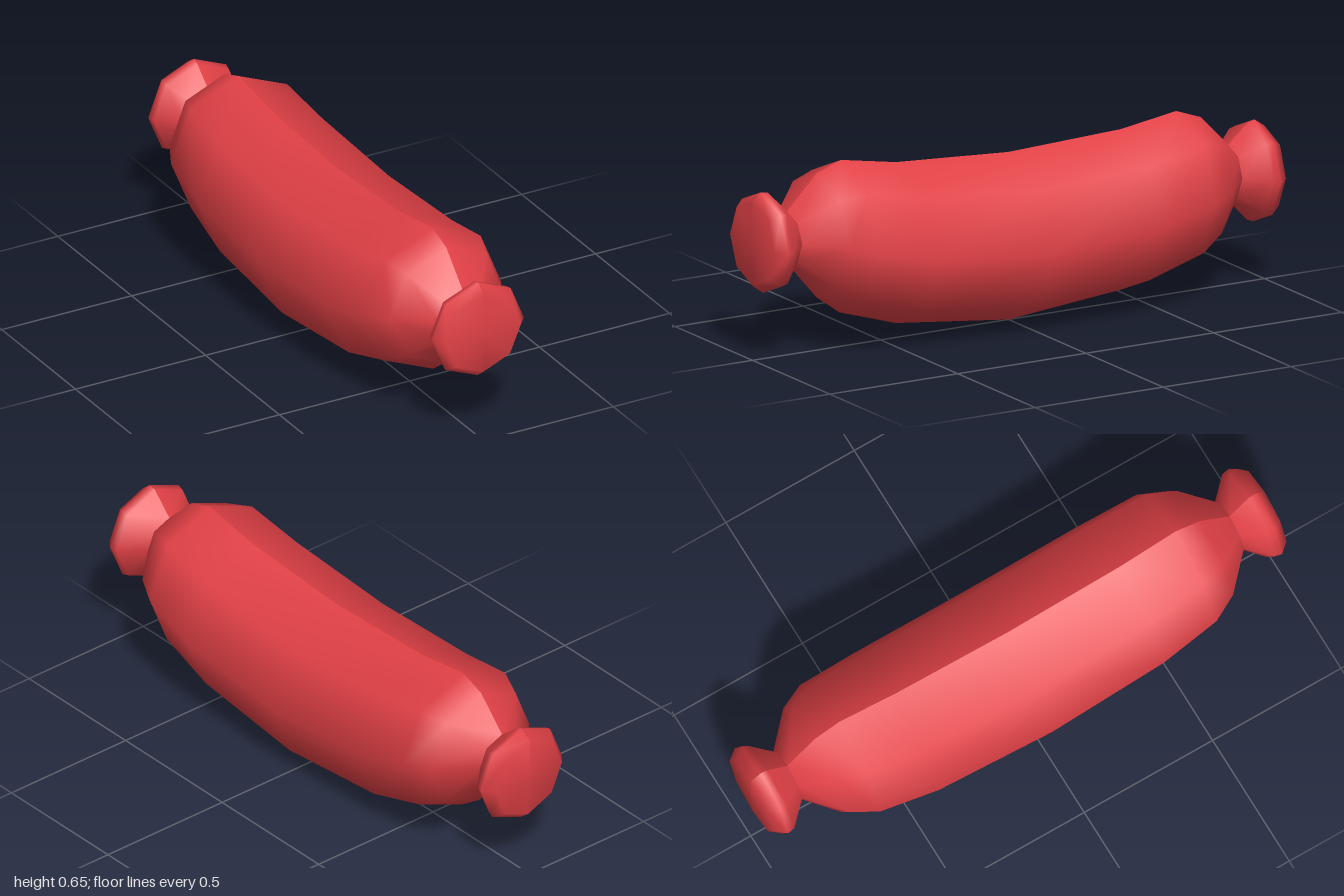
import * as THREE from 'three';

// Rings from front to back: [z at top, y at top, z at bottom, y at bottom, half width]
const RINGS = [
  [1.0, 0.408, 1.0, 0.408, 0], // front cap centre
  [1.0, 0.553, 1.0, 0.26, 0.145],
  [0.967, 0.58, 0.96, 0.23, 0.176],
  [0.94, 0.575, 0.935, 0.237, 0.17],
  [0.865, 0.5, 0.862, 0.315, 0.095], // front neck
  [0.75, 0.615, 0.75, 0.185, 0.215],
  [0.655, 0.648, 0.66, 0.12, 0.262],
  [0.44, 0.61, 0.44, 0.052, 0.282],
  [0, 0.583, 0, 0.002, 0.29], // middle
  [-0.44, 0.6, -0.43, 0.042, 0.282],
  [-0.655, 0.632, -0.65, 0.106, 0.262],
  [-0.75, 0.598, -0.74, 0.168, 0.215],
  [-0.858, 0.487, -0.855, 0.296, 0.095], // back neck
  [-0.935, 0.552, -0.93, 0.217, 0.17],
  [-0.96, 0.56, -0.955, 0.207, 0.176],
  [-1.0, 0.533, -0.993, 0.237, 0.145],
  [-1.0, 0.385, -1.0, 0.385, 0], // back cap centre
];
const STEPS = 4; // sides per half of the octagonal section

// One smooth half of the skin; the halves meet in a crease along x = 0
function halfSkin(rings, side) {
  const positions = [];
  const index = [];
  for (const [zt, yt, zb, yb, w] of rings) {
    for (let j = 0; j <= STEPS; j++) {
      const a = (j / STEPS) * Math.PI;
      const t = (1 - Math.cos(a)) / 2;
      const x = j % STEPS === 0 ? 0 : side * w * Math.sin(a);
      positions.push(x, yt + (yb - yt) * t, zt + (zb - zt) * t);
    }
  }
  const add = (a, b, c) => (side > 0 ? index.push(a, b, c) : index.push(a, c, b));
  for (let i = 0; i < rings.length - 1; i++) {
    for (let j = 0; j < STEPS; j++) {
      const p = i * (STEPS + 1) + j;
      const q = p + STEPS + 1;
      if (rings[i][4] > 0) add(p, p + 1, q);
      if (rings[i + 1][4] > 0) add(p + 1, q + 1, q);
      else if (rings[i][4] === 0) add(p + 1, q + 1, q);
    }
  }
  const geometry = new THREE.BufferGeometry();
  geometry.setAttribute('position', new THREE.Float32BufferAttribute(positions, 3));
  geometry.setIndex(index);
  geometry.computeVertexNormals();
  return geometry;
}

export function createModel() {
  const model = new THREE.Group();
  model.name = 'sausage';
  const material = new THREE.MeshStandardMaterial({ color: 0xe04045 });

  // Knotted ends and curved body, split at the necks
  const parts = { frontKnot: [0, 5], body: [4, 13], backKnot: [12, 17] };
  for (const [name, [from, to]] of Object.entries(parts)) {
    const part = new THREE.Group();
    part.name = name;
    for (const side of [1, -1]) {
      const mesh = new THREE.Mesh(halfSkin(RINGS.slice(from, to), side), material);
      mesh.name = name + (side > 0 ? 'Left' : 'Right');
      part.add(mesh);
    }
    model.add(part);
  }
  return model;
}
